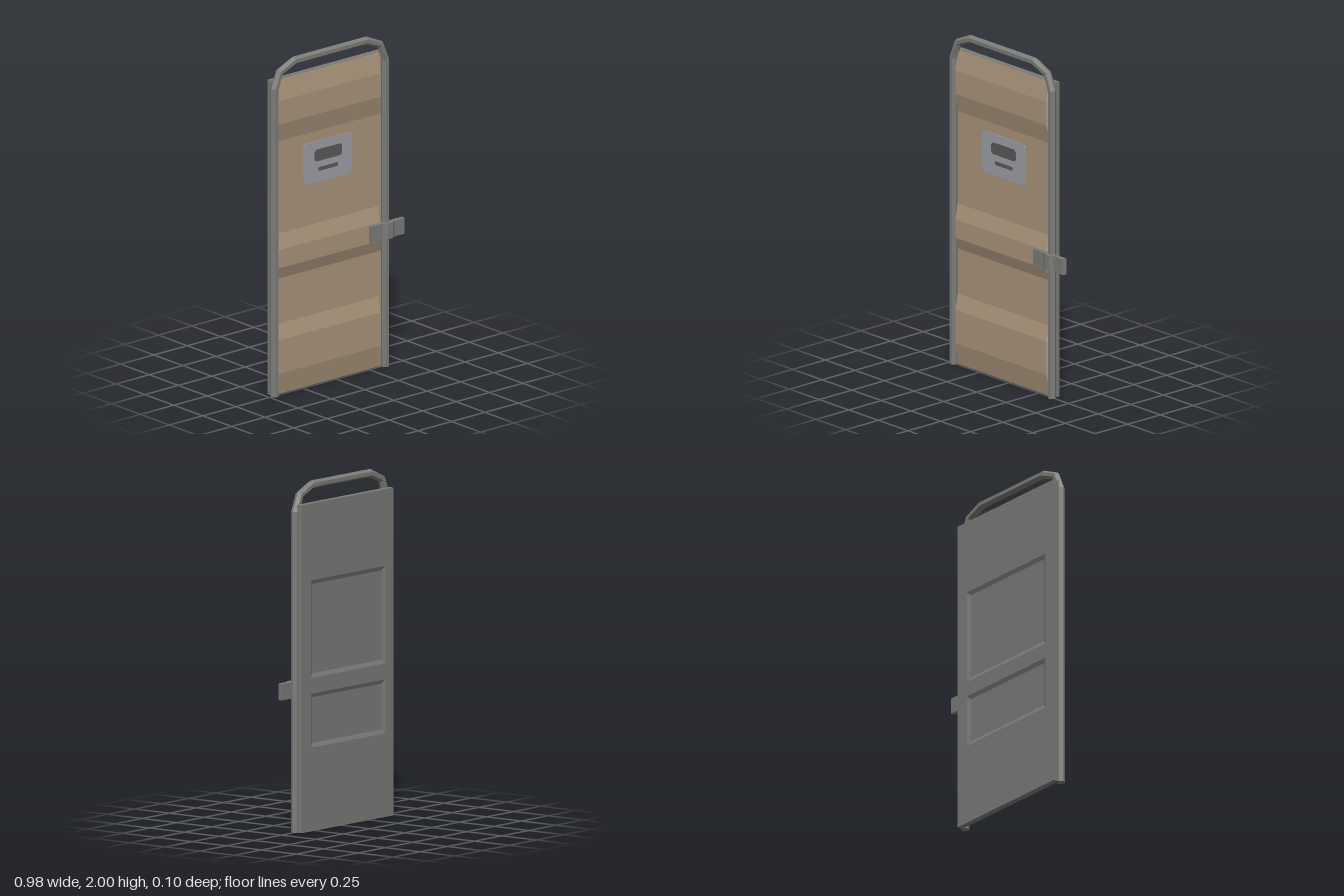
import * as THREE from 'three';

const mat = (name, color) => Object.assign(new THREE.MeshStandardMaterial({ color, flatShading: true }), { name });

// Flat-shaded geometry from a list of polygons (counter-clockwise corners)
function facesGeometry(faces) {
  const p = [];
  for (const f of faces)
    for (let k = 1; k < f.length - 1; k++) p.push(...f[0], ...f[k], ...f[k + 1]);
  const g = new THREE.BufferGeometry();
  g.setAttribute('position', new THREE.Float32BufferAttribute(p, 3));
  g.computeVertexNormals();
  return g;
}

// Outline with cut corners
function cutRect(x0, x1, y0, y1, c, Type = THREE.Shape) {
  const pts = [[x0 + c, y0], [x1 - c, y0], [x1, y0 + c], [x1, y1 - c],
    [x1 - c, y1], [x0 + c, y1], [x0, y1 - c], [x0, y0 + c]];
  return new Type(pts.map(([x, y]) => new THREE.Vector2(x, y)));
}

// Hexagonal rail swept with mitred corners along an arch
function railGeometry() {
  const cx = -0.05;
  // half width and height of the outer and the inner edge
  const half = [
    { o: [0.44, 0], i: [0.39, 0] },
    { o: [0.44, 1.84], i: [0.39, 1.83] },
    { o: [0.393, 1.946], i: [0.361, 1.914] },
    { o: [0.273, 2.0], i: [0.262, 1.953] },
  ];
  const side = (s) => half.map(({ o, i }) => ({ o: [cx + s * o[0], o[1]], i: [cx + s * i[0], i[1]] }));
  const path = [...side(-1), ...side(1).reverse()];
  const section = [[1, 0.003], [0.73, 0.025], [0.27, 0.025], [0, 0.003], [0.27, -0.018], [0.73, -0.018]];
  const rings = path.map(({ o, i }) => section.map(([t, z]) =>
    [i[0] + (o[0] - i[0]) * t, i[1] + (o[1] - i[1]) * t, z]));
  const faces = [[...rings[0]].reverse(), rings[rings.length - 1]];
  for (let r = 0; r < rings.length - 1; r++)
    for (let j = 0; j < 6; j++) {
      const n = (j + 1) % 6;
      faces.push([rings[r][j], rings[r][n], rings[r + 1][n], rings[r + 1][j]]);
    }
  return facesGeometry(faces);
}

// Front sheet with raised horizontal ribs
function sheetGeometry() {
  const low = -0.011, high = 0.012;
  const rows = [[1.88, 0], [1.76, 1], [1.62, 1], [1.51, 0], [0.96, 0], [0.87, 1],
    [0.76, 1], [0.69, 0], [0.42, 0], [0.33, 1], [0.13, 1], [0, 0]];
  const cols = [[-0.455, 0], [-0.44, 1], [0.325, 1], [0.345, 0]];
  const pt = (r, c) => [cols[c][0], rows[r][0], rows[r][1] && cols[c][1] ? high : low];
  const faces = [];
  for (let r = 0; r < rows.length - 1; r++)
    for (let c = 0; c < 3; c++) faces.push([pt(r, c), pt(r + 1, c), pt(r + 1, c + 1), pt(r, c + 1)]);
  return facesGeometry(faces);
}

// Back skin with two recesses whose walls slope inwards
function backSkinGeometry() {
  const depth = 0.01, slope = 0.024;
  const recesses = [[-0.395, 0.29, 0.88, 1.44], [-0.395, 0.29, 0.48, 0.79]];
  const shape = cutRect(-0.47, 0.37, 0, 1.88, 0);
  for (const [x0, x1, y0, y1] of recesses) shape.holes.push(cutRect(x0, x1, y0, y1, 0, THREE.Path));
  const g = new THREE.ExtrudeGeometry(shape, { depth, bevelEnabled: false });
  const p = g.attributes.position;
  for (let k = 0; k < p.count; k++) {
    if (p.getZ(k) < depth / 2) continue;
    const x = p.getX(k), y = p.getY(k);
    for (const [x0, x1, y0, y1] of recesses)
      if (x > x0 - 0.001 && x < x1 + 0.001 && y > y0 - 0.001 && y < y1 + 0.001)
        p.setXY(k, x + (x < (x0 + x1) / 2 ? slope : -slope), y + (y < (y0 + y1) / 2 ? slope : -slope));
  }
  g.computeVertexNormals();
  return g.translate(0, 0, -0.05);
}

export function createModel() {
  const steel = mat('grey steel', 0x7b7c79);
  const tan = mat('tan paint', 0xa8937a);
  const pale = mat('pale grey plate', 0x9d9ea6);
  const dark = mat('dark grey', 0x585858);

  const model = new THREE.Group();
  model.name = 'door';
  const add = (name, geometry, material) => {
    const m = new THREE.Mesh(geometry, material);
    m.name = name;
    model.add(m);
    return m;
  };
  const plate = (name, shape, z, thickness, material) =>
    add(name, new THREE.ExtrudeGeometry(shape, { depth: thickness, bevelEnabled: false }).translate(0, 0, z), material);

  add('frameRail', railGeometry(), steel);
  add('doorCore', new THREE.BoxGeometry(0.84, 1.88, 0.026).translate(-0.05, 0.94, -0.027), steel);
  add('backSkin', backSkinGeometry(), steel);
  add('frontSheet', sheetGeometry(), tan);

  // Sign plate with its dark markings
  plate('signPlate', cutRect(-0.238, 0.13, 1.205, 1.45, 0.018), -0.012, 0.005, pale);
  plate('signPanel', cutRect(-0.157, 0.05, 1.33, 1.4, 0.014), -0.008, 0.003, dark);
  plate('signSlot', cutRect(-0.125, 0.02, 1.27, 1.292, 0.004), -0.008, 0.003, dark);

  // Latch bar, bent outwards over the rail
  const profile = [[0.235, 0.031], [0.325, 0.031], [0.35, 0.046], [0.385, 0.046], [0.41, 0.031],
    [0.485, 0.031], [0.49, 0.005], [0.235, 0.005]];
  const bar = new THREE.Shape(profile.map(([x, z]) => new THREE.Vector2(x, -z)));
  add('latchBar', new THREE.ExtrudeGeometry(bar, { depth: 0.095, bevelEnabled: false })
    .rotateX(-Math.PI / 2).translate(0, 0.77, 0), steel);

  return model;
}
